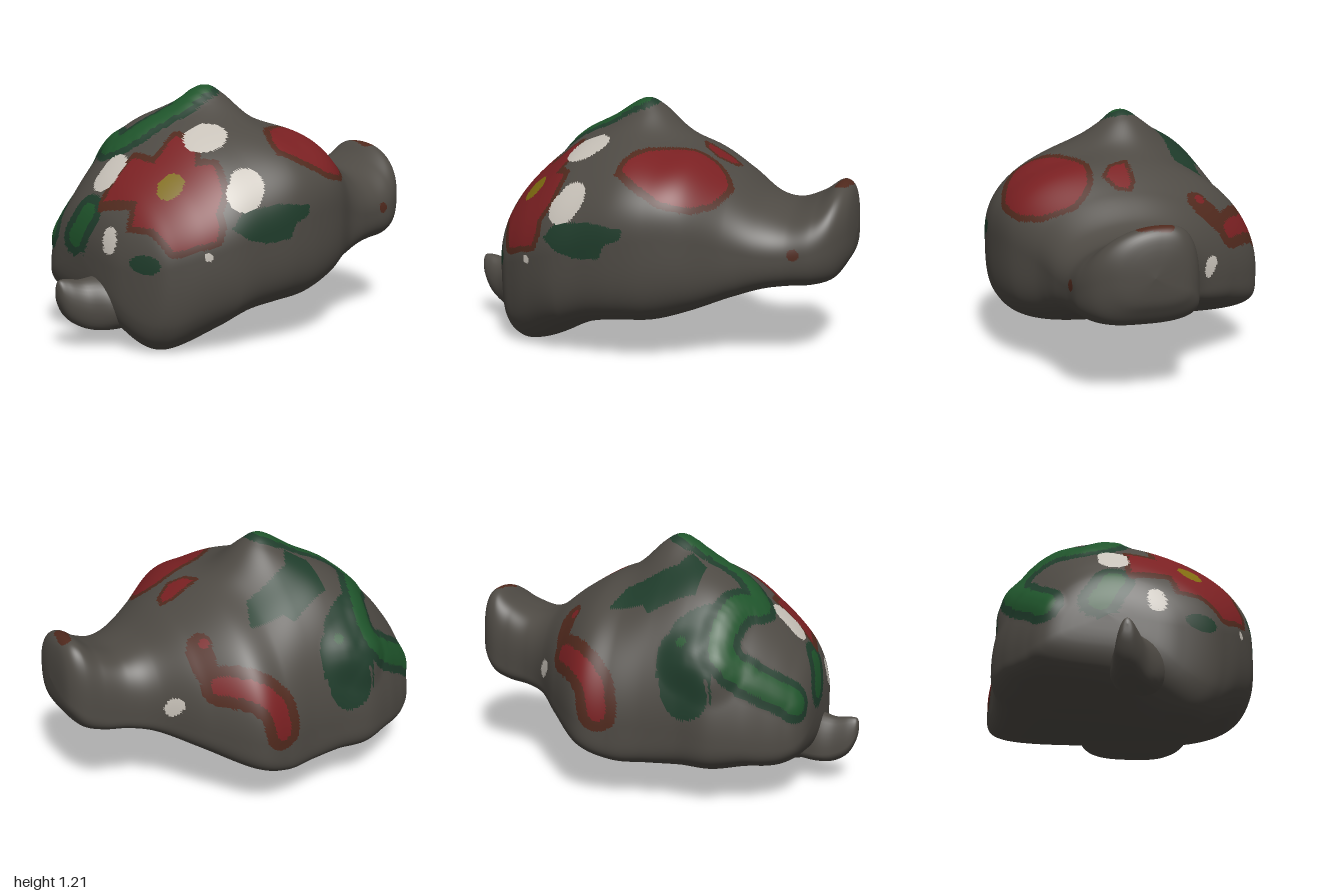
import * as THREE from 'three';

const paint = (name, color) => {
  const m = new THREE.MeshStandardMaterial({ color });
  m.name = name;
  return m;
};

// Cross-sections along x: [x, zBack, zFront, yTop, yBottom, zTop, zBottom]
const BODY = [
  [-0.82, -0.08, -0.08, 0.44, 0.44, -0.08, -0.08],
  [-0.812, -0.29, 0.15, 0.54, 0.3, -0.08, 0],
  [-0.78, -0.39, 0.28, 0.65, 0.21, -0.07, 0.08],
  [-0.72, -0.45, 0.41, 0.74, 0.16, -0.07, 0.15],
  [-0.65, -0.5, 0.48, 0.82, 0.14, -0.08, 0.18],
  [-0.55, -0.56, 0.55, 0.91, 0.14, -0.1, 0.2],
  [-0.4, -0.62, 0.62, 1.03, 0.13, -0.13, 0.15],
  [-0.24, -0.61, 0.65, 1.08, 0.15, -0.14, 0.1],
  [-0.08, -0.62, 0.67, 1.07, 0.16, -0.08, 0.05],
  [0.08, -0.65, 0.66, 1.02, 0.17, 0, 0],
  [0.25, -0.65, 0.61, 0.99, 0.22, 0.05, 0],
  [0.43, -0.47, 0.5, 0.89, 0.29, 0.05, 0.05],
  [0.58, -0.28, 0.45, 0.78, 0.34, 0.05, 0.1],
  [0.7, -0.2, 0.42, 0.75, 0.36, 0.04, 0.12],
  [0.82, -0.17, 0.4, 0.79, 0.37, 0.03, 0.12],
  [0.91, -0.15, 0.35, 0.85, 0.4, 0.03, 0.12],
  [0.965, -0.11, 0.27, 0.83, 0.47, 0.04, 0.1],
  [0.99, -0.05, 0.18, 0.75, 0.53, 0.06, 0.08],
  [1.0, 0.08, 0.08, 0.63, 0.63, 0.08, 0.08],
];
const TAIL = [
  [-1.0, 0, 0, 0.3, 0.3, 0, 0],
  [-0.99, -0.03, 0.03, 0.335, 0.23, 0, 0],
  [-0.95, -0.05, 0.06, 0.34, 0.15, 0, 0.01],
  [-0.88, -0.06, 0.1, 0.33, 0.1, 0.01, 0.04],
  [-0.8, -0.07, 0.17, 0.34, 0.085, 0.03, 0.08],
  [-0.7, -0.05, 0.22, 0.34, 0.09, 0.05, 0.1],
];

// Closed loft whose sections are four superellipse quarters
function loft(rows, step, sides, bumps) {
  const times = rows.map((_, i) => i);
  const spline = new THREE.CubicInterpolant(times, rows.flat(), 7, new Float32Array(7));
  const ts = [0];
  for (let i = 0; i < rows.length - 1; i++) {
    const n = Math.ceil((rows[i + 1][0] - rows[i][0]) / step) + 3;
    for (let k = 1; k <= n; k++) ts.push(i + k / n);
  }
  const pos = [], index = [];
  for (const t of ts) {
    const [x, zB, zF, yT, yB, zT, zL] = spline.evaluate(t);
    const bulge = bumps ? Math.exp(-(((x - 0.15) / 0.3) ** 2)) : 0;
    const head = THREE.MathUtils.smoothstep(x, 0.4, 0.8);
    // the lower back edge is squarest in the middle of the body
    const square = bumps ? 3 + 3.5 * Math.exp(-(((x - 0.05) / 0.35) ** 2)) : 2.2;
    for (let j = 0; j < sides; j++) {
      const a = (j / sides) * Math.PI * 2, c = Math.cos(a), s = Math.sin(a);
      const front = c >= 0, top = s >= 0;
      const n = top ? (front ? 1.9 + 0.8 * bulge + 0.3 * head : 2 + head) : front ? Math.min(square, 3.8) : square;
      const r = (Math.abs(c) ** n + Math.abs(s) ** n) ** (-1 / n);
      // the widest height slides from the front fraction to the back one
      const f = 0.34 + 0.09 * c + 0.1 * bulge * Math.max(c, 0);
      const mid = yB + (yT - yB) * f;
      const zc = zL + (zT - zL) * (0.5 + 0.5 * s);
      const z = zc + r * c * (front ? zF - zc : zc - zB);
      let y = mid + r * s * (top ? yT - mid : mid - yB);
      if (bumps) {
        const up = THREE.MathUtils.smoothstep(s, -0.1, 0.5);
        const down = THREE.MathUtils.smoothstep(-s, 0, 0.6);
        y += up * 0.13 * Math.exp(-((x + 0.05) ** 2 + (z + 0.03) ** 2) / 0.028); // peak
        y -= down * 0.14 * Math.exp(-((x + 0.61) ** 2 + (z - 0.3) ** 2) / 0.06); // foot
      }
      pos.push(x, y, z);
    }
  }
  for (let i = 0; i < ts.length - 1; i++)
    for (let j = 0; j < sides; j++) {
      const k = (j + 1) % sides;
      const a = i * sides + j, b = a + sides, c = i * sides + k, d = c + sides;
      index.push(a, b, c, b, d, c);
    }
  const g = new THREE.BufferGeometry();
  g.setAttribute('position', new THREE.Float32BufferAttribute(pos, 3));
  g.setIndex(index);
  g.computeVertexNormals();
  return g;
}

// Signed distance to a 2D outline, negative inside
function outlineDistance(poly, u, v) {
  let best = Infinity, inside = false;
  for (let i = 0, j = poly.length - 1; i < poly.length; j = i++) {
    const [ax, ay] = poly[i], [bx, by] = poly[j];
    const dx = bx - ax, dy = by - ay;
    const t = THREE.MathUtils.clamp(((u - ax) * dx + (v - ay) * dy) / (dx * dx + dy * dy), 0, 1);
    best = Math.min(best, Math.hypot(u - ax - t * dx, v - ay - t * dy));
    if (ay > v !== by > v && u < ax + ((v - ay) * dx) / dy) inside = !inside;
  }
  return inside ? -best : best;
}
const topArea = (poly) => (p) => (p.y < 0.45 ? 9 : outlineDistance(poly, p.x, p.z));
const frontArea = (poly) => (p) => (p.z < 0 ? 9 : outlineDistance(poly, p.x, p.y));
const overlap = (a, b) => (p) => Math.max(a(p), b(p));
const ellipse = (cx, cy, rx, ry, turn) =>
  new THREE.EllipseCurve(cx, cy, rx, ry, 0, Math.PI * 2, false, turn).getPoints(32).slice(1).map((p) => [p.x, p.y]);

export function createModel() {
  const group = new THREE.Group();
  const stone = paint('stone grey', 0x4e4a44), red = paint('brick red', 0x7a2022);
  const brown = paint('rust brown', 0x50291d), green = paint('leaf green', 0x1f542b);
  const dark = paint('deep green', 0x1f3c2b), white = paint('chalk white', 0xc8c2b9);
  const yellow = paint('ochre yellow', 0x806c10);

  const body = loft(BODY, 0.0125, 256, true);
  const position = body.attributes.position;
  const p = new THREE.Vector3(), q = new THREE.Vector3();

  // A brush stroke laid onto the surface: distance to its path minus its radius
  const stroke = (radius, ...points) => {
    const pts = points.map((a) => new THREE.Vector3(...a));
    const path = pts.length > 1 ? new THREE.CatmullRomCurve3(pts).getSpacedPoints(pts.length * 10) : pts;
    const laid = path.map((s) => {
      let best = Infinity;
      const hit = new THREE.Vector3();
      for (let i = 0; i < position.count; i++) {
        const d = q.fromBufferAttribute(position, i).distanceToSquared(s);
        if (d < best) { best = d; hit.copy(q); }
      }
      return hit;
    });
    return (c) => {
      let best = Infinity;
      for (const s of laid) best = Math.min(best, s.distanceToSquared(c));
      return Math.sqrt(best) - radius;
    };
  };

  const snakePath = [[-0.12, 1.18, -0.03], [-0.22, 1.12, -0.03], [-0.36, 1.05, -0.05], [-0.48, 0.97, -0.1],
    [-0.54, 0.93, -0.19], [-0.48, 0.94, -0.32], [-0.44, 0.86, -0.44], [-0.47, 0.76, -0.54],
    [-0.59, 0.66, -0.52], [-0.69, 0.57, -0.44], [-0.76, 0.5, -0.36]];

  // Raise the snake and the back shoulder from the surface
  const swellings = [[stroke(0, ...snakePath), 0.016, 0.11], [stroke(0, [-0.3, 0.72, -0.56], [-0.4, 0.68, -0.58]), 0.03, 0.17]];
  const normals = body.attributes.normal;
  for (let i = 0; i < position.count; i++) {
    p.fromBufferAttribute(position, i);
    let lift = 0;
    for (const [distance, height, reach] of swellings)
      lift += height * (1 - THREE.MathUtils.smoothstep(distance(p), 0.01, reach));
    p.addScaledVector(q.fromBufferAttribute(normals, i), lift);
    position.setXYZ(i, p.x, p.y, p.z);
  }
  body.computeVertexNormals();

  // Painted outlines, drawn from the top or from the front
  const flowerTop = [[-0.75, 0.03], [-0.57, 0.02], [-0.55, 0.16], [-0.4, 0.14], [-0.39, 0.27], [-0.45, 0.35],
    [-0.31, 0.48], [-0.48, 0.54], [-0.48, 0.64], [-0.69, 0.64], [-0.72, 0.44], [-0.82, 0.36], [-0.79, 0.28], [-0.69, 0.22]];
  const flowerFront = [[-0.95, 0.61], [-0.7, 0.6], [-0.66, 0.5], [-0.58, 0.53], [-0.5, 0.55], [-0.47, 0.64],
    [-0.38, 0.7], [-0.42, 0.76], [-0.3, 1.2], [-0.95, 1.2]];
  const ovalFront = [[-0.2, 0.96], [-0.06, 0.93], [0.03, 0.88], [0.16, 0.81], [0.29, 0.78], [0.37, 0.79],
    [0.41, 0.83], [0.41, 1.2], [-0.2, 1.2]];
  const leafTop = [[-0.27, -0.37], [-0.05, -0.44], [-0.02, -0.4], [0.16, -0.39], [0.11, -0.26],
    [-0.02, -0.25], [-0.13, -0.22], [-0.18, -0.13], [-0.27, -0.19]];
  const leafFront = [[-0.43, 0.6], [-0.37, 0.67], [-0.2, 0.7], [-0.01, 0.68], [-0.02, 0.63],
    [-0.1, 0.6], [-0.13, 0.53], [-0.26, 0.52], [-0.36, 0.55]];

  // Painted patches: [name, distance, colour, rim width, rim colour]; the first match wins
  const patches = [
    ['flowerCentre', stroke(0.06, [-0.59, 0.77, 0.32], [-0.57, 0.79, 0.32]), yellow],
    ['whitePetalUpper', stroke(0.098, [-0.32, 0.94, 0.25], [-0.29, 0.96, 0.24]), white],
    ['whitePetalLower', stroke(0.08, [-0.33, 0.73, 0.56], [-0.29, 0.79, 0.53]), white],
    ['whitePetalBack', stroke(0.072, [-0.69, 0.79, -0.05], [-0.63, 0.85, -0.05]), white],
    ['flower', overlap(topArea(flowerTop), frontArea(flowerFront)), red, 0.028, brown],
    ['whiteDotEnd', stroke(0.037, [-0.8, 0.55, 0.14], [-0.8, 0.5, 0.15]), white],
    ['whiteDotFront', stroke(0.02, [-0.53, 0.48, 0.55]), white],
    ['whiteDotHead', stroke(0.034, [0.55, 0.52, -0.31], [0.55, 0.55, -0.35]), white],
    ['snake', stroke(0.06, ...snakePath), green, 0.04, dark],
    ['redOval', overlap(topArea(ellipse(0.175, 0.435, 0.265, 0.17, -0.6)), frontArea(ovalFront)), red, 0.03, brown],
    ['redSpot', topArea([[0.24, 0.03], [0.36, 0.03], [0.4, 0.05], [0.39, 0.1], [0.32, 0.14], [0.26, 0.1]]), red, 0.02, brown],
    ['streakDot', stroke(0.026, [0.35, 0.81, -0.3]), red],
    ['redStreak', stroke(0.045, [0.12, 0.45, -0.68], [0.15, 0.57, -0.65], [0.24, 0.65, -0.57], [0.36, 0.67, -0.46]), red, 0.052, brown],
    ['streakTip', stroke(0.062, [0.41, 0.72, -0.4], [0.37, 0.79, -0.28]), brown],
    ['headTopMark', stroke(0.03, [0.94, 0.84, 0.01], [0.92, 0.83, 0.12]), brown],
    ['headFrontMark', stroke(0.028, [0.75, 0.55, 0.42]), brown],
    ['endLeaf', stroke(0.048, [-0.77, 0.63, -0.05], [-0.81, 0.5, -0.12]), green, 0.047, dark],
    ['backDot', stroke(0.025, [-0.25, 0.78, -0.52]), green],
    ['backLeaf', stroke(0.11, [-0.25, 0.74, -0.54], [-0.29, 0.54, -0.61]), dark],
    ['topLeaf', topArea(leafTop), dark],
    ['shoulderLeaf', topArea([[-0.42, -0.6], [-0.14, -0.58], [-0.2, -0.47], [-0.36, -0.38]]), dark],
    ['frontLeaf', frontArea(leafFront), dark],
    ['frontLeafSmall', frontArea(ellipse(-0.745, 0.435, 0.035, 0.045, 0)), dark],
  ];

  // Sort the surface triangles into one mesh per painted area
  const parts = new Map();
  const idx = body.index.array;
  for (let i = 0; i < idx.length; i += 3) {
    p.set(0, 0, 0);
    for (let k = 0; k < 3; k++) p.add(q.fromBufferAttribute(position, idx[i + k]));
    p.divideScalar(3);
    let name = 'stoneBody', material = stone;
    for (const [label, distance, colour, rim = 0, rimColour] of patches) {
      const d = distance(p);
      if (d < rim) {
        name = d < 0 ? label : label + 'Edge';
        material = d < 0 ? colour : rimColour;
        break;
      }
    }
    if (!parts.has(name)) parts.set(name, { material, index: [] });
    parts.get(name).index.push(idx[i], idx[i + 1], idx[i + 2]);
  }
  const add = (name, geometry, material) => {
    const mesh = new THREE.Mesh(geometry, material);
    mesh.name = name;
    group.add(mesh);
  };
  for (const [name, { material, index }] of parts) {
    const g = new THREE.BufferGeometry();
    g.setAttribute('position', position);
    g.setAttribute('normal', body.attributes.normal);
    g.setIndex(index);
    add(name, g, material);
  }
  add('tail', loft(TAIL, 0.02, 32, false), stone);

  // Stand on the ground
  const box = new THREE.Box3().setFromObject(group);
  for (const mesh of group.children) mesh.position.y -= box.min.y;
  return group;
}
